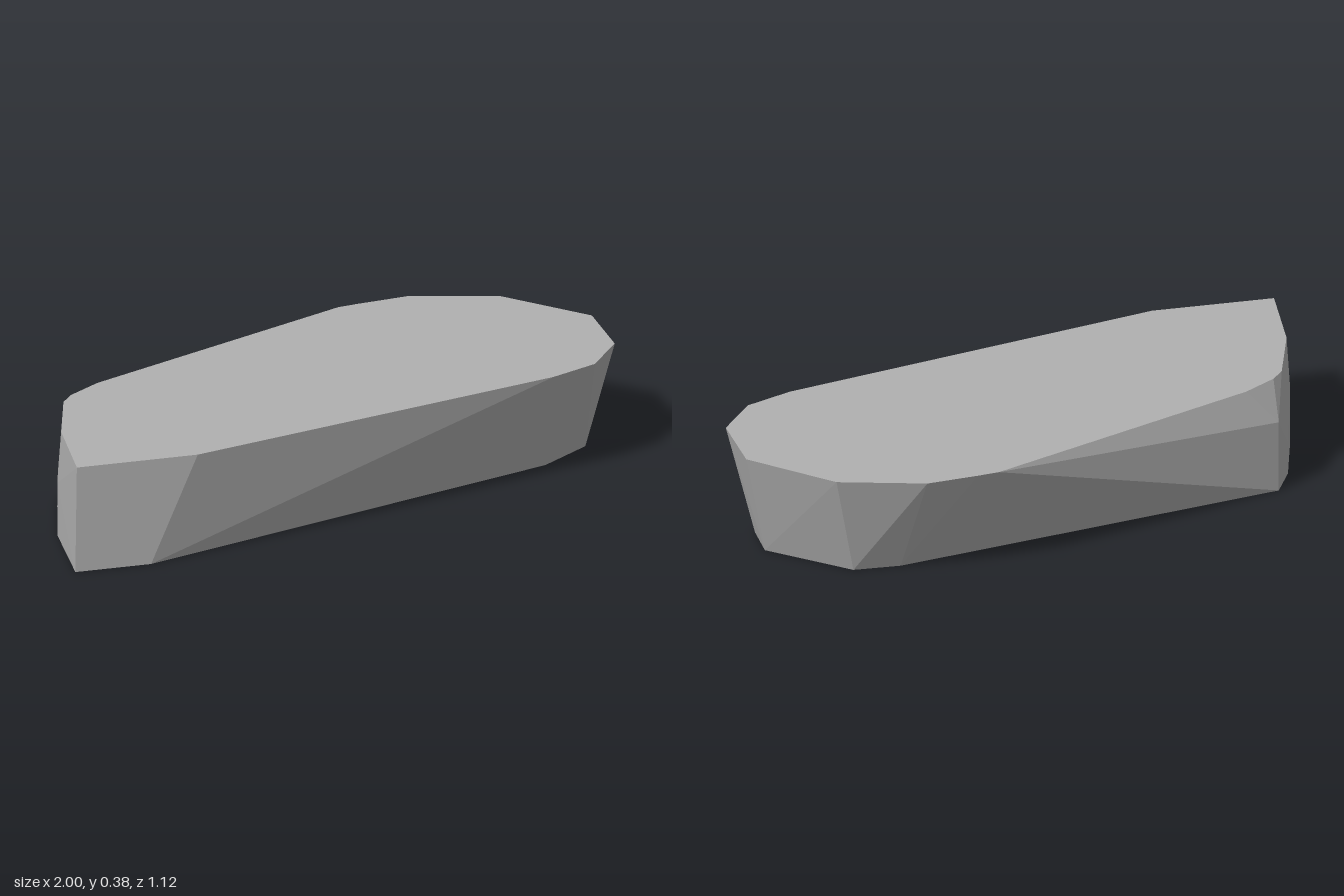
import * as THREE from 'three';
import { ConvexGeometry } from 'three/addons/geometries/ConvexGeometry.js';

export function createModel() {
  const group = new THREE.Group();
  group.name = 'rockSlab';
  const stone = new THREE.MeshStandardMaterial({ color: 0xb0b0b0 });
  stone.name = 'grey stone';

  const height = 0.375;
  // Flat top outline, as [x, z]
  const top = [
    [-0.995, 0.555], [-0.58, 0.555], [0.73, 0.23], [0.89, 0.16], [1, 0.01],
    [0.99, -0.24], [0.74, -0.48], [0.45, -0.56], [0.27, -0.54], [0.2, -0.53],
    [-0.74, -0.12], [-0.85, -0.045], [-0.89, 0.005], [-0.965, 0.25],
  ];
  // Smaller flat base, undercut at the back and left
  const base = [
    [-1, 0.555], [-0.74, 0.555], [0.74, 0.09], [0.91, -0.03], [0.91, -0.17],
    [0.66, -0.385], [0.5, -0.39], [-0.85, -0.12], [-0.91, 0], [-0.975, 0.24],
  ];
  // Shoulder below the chipped back right edge, as [x, y, z]
  const shoulder = [[-0.85, 0.25, -0.12], [-0.908, 0.12, 0], [-0.975, 0.19, 0.24]];

  const points = [
    ...top.map(([x, z]) => new THREE.Vector3(x, height, z)),
    ...base.map(([x, z]) => new THREE.Vector3(x, 0, z)),
    ...shoulder.map((p) => new THREE.Vector3(...p)),
  ];

  // Faceted slab stretched over the outlines
  const slab = new THREE.Mesh(new ConvexGeometry(points), stone);
  slab.name = 'slab';
  group.add(slab);
  return group;
}
